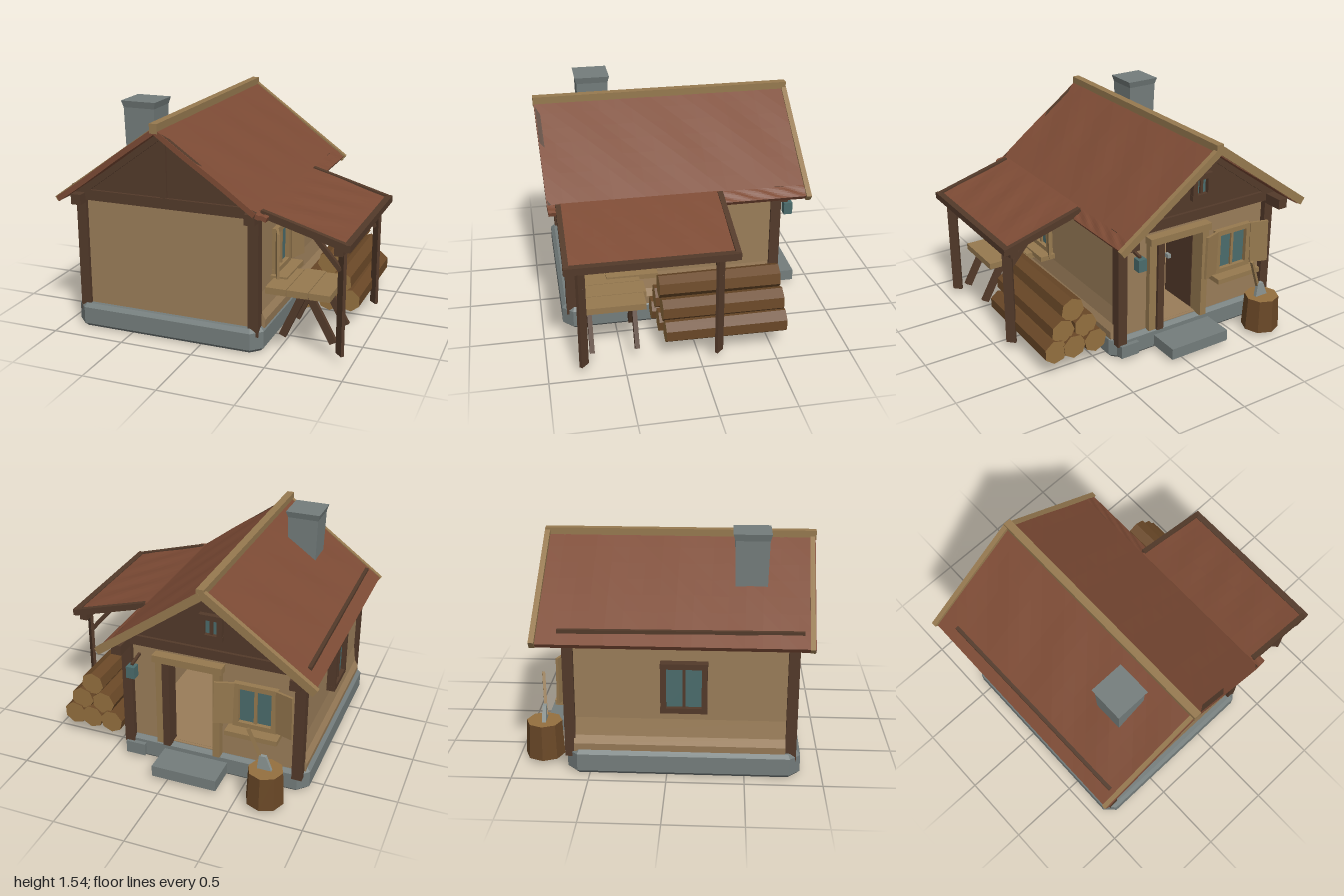
import * as THREE from 'three';

const C = { wall: 0x9a7d59, dark: 0x533a2a, roof: 0x7d4b35, stone: 0x747d7c, trim: 0x96794f, log: 0x6a4827, end: 0x94703f, glass: 0x4b6c6c, iron: 0x8d9694 };
const mats = {};
const mat = (k) => (mats[k] ??= new THREE.MeshStandardMaterial({ color: C[k], flatShading: true, side: THREE.DoubleSide }));
const V = (x, y, z) => new THREE.Vector3(x, y, z);

function add(parent, name, geo, color, x = 0, y = 0, z = 0) {
  const m = new THREE.Mesh(geo, Array.isArray(color) ? color.map(mat) : mat(color));
  m.name = name;
  m.position.set(x, y, z);
  parent.add(m);
  return m;
}

// box given by its extents on each axis
function block(parent, name, color, x0, x1, y0, y1, z0, z1) {
  return add(parent, name, new THREE.BoxGeometry(x1 - x0, y1 - y0, z1 - z0), color, (x0 + x1) / 2, (y0 + y1) / 2, (z0 + z1) / 2);
}

// timber between two points; w is the sideways width, d the other one
function beam(parent, name, color, a, b, w, d = w) {
  const m = add(parent, name, new THREE.BoxGeometry(w, d, a.distanceTo(b)), color);
  m.position.copy(a).lerp(b, 0.5);
  m.lookAt(b);
  return m;
}

const polygon = (pts) => new THREE.Shape(pts.map((p) => new THREE.Vector2(...p)));
const rect = (x0, x1, y0, y1) => polygon([[x0, y0], [x1, y0], [x1, y1], [x0, y1]]);

// upright panel with openings, extruded along z
function panel(pts, holes, depth = 0.05) {
  const s = polygon(pts);
  holes.forEach((h) => s.holes.push(rect(...h)));
  return new THREE.ExtrudeGeometry(s, { depth, bevelEnabled: false });
}

// uneven sloping slab between two (x, y) edges; z limits are given at each edge
function slab(a, b, za, zb, t) {
  const g = new THREE.BoxGeometry(1, 1, 1, 7, 1, 16), p = g.attributes.position;
  const len = Math.hypot(b[0] - a[0], b[1] - a[1]), nx = -(b[1] - a[1]) / len, ny = (b[0] - a[0]) / len;
  const lerp = THREE.MathUtils.lerp;
  for (let i = 0; i < p.count; i++) {
    const u = p.getX(i) + 0.5, v = p.getZ(i) + 0.5, off = p.getY(i) > 0 ? 0 : -t;
    const wave = 0.005 * Math.sin(u * Math.PI) * Math.sin(v * 23 + u * 5);
    p.setXYZ(i, lerp(a[0], b[0], u) + nx * off, lerp(a[1], b[1], u) + ny * off + wave,
      lerp(lerp(za[0], zb[0], u), lerp(za[1], zb[1], u), v));
  }
  g.computeVertexNormals();
  return g;
}

// window in local axes facing +z: frame, panes, sill and two shutters
function windowSet(parent, name, w, h, colour, shutters) {
  const g = new THREE.Group();
  g.name = name;
  const x = w / 2, y = h / 2;
  block(g, 'glass', 'glass', -x, x, -y, y, -0.02, 0);
  for (const s of [-1, 1]) {
    block(g, 'frameSide', colour, s * x - 0.018, s * x + 0.018, -y, y, -0.03, 0.03);
    block(g, 'frameRail', colour, -x - 0.02, x + 0.02, s * y - 0.018, s * y + 0.018, -0.03, 0.03);
    if (shutters) {
      const hinge = new THREE.Group();
      hinge.name = 'shutter';
      hinge.position.set(s * (x + 0.02), 0, 0.02);
      hinge.rotation.y = -s * shutters;
      hinge.rotation.z = s * 0.03;
      block(hinge, 'shutterBoard', 'trim', s > 0 ? 0 : -0.13, s > 0 ? 0.13 : 0, -y, y + 0.02, 0, 0.018);
      g.add(hinge);
    }
  }
  block(g, 'mullion', colour, -0.01, 0.01, -y, y, -0.02, 0.015);
  if (shutters) block(g, 'sill', 'trim', -x - 0.05, x + 0.05, -y - 0.05, -y - 0.015, -0.02, 0.11);
  parent.add(g);
  return g;
}

function buildHouse(g) {
  // stone foundation with cut corners and bevelled edges
  const c = 0.07, [x0, x1, z0, z1] = [-0.92, 0.42, -0.86, 0.65];
  const base = new THREE.ExtrudeGeometry(polygon([[x0 + c, z0], [x1 - c, z0], [x1, z0 + c], [x1, z1 - c], [x1 - c, z1], [x0 + c, z1], [x0, z1 - c], [x0, z0 + c]]),
    { depth: 0.115, bevelThickness: 0.025, bevelSize: 0.025, bevelOffset: -0.025, bevelSegments: 1 });
  base.rotateX(-Math.PI / 2);
  add(g, 'foundation', base, 'stone', 0, 0.025, 0);
  block(g, 'floor', 'wall', -0.82, 0.34, 0.155, 0.172, -0.6, 0.76);
  block(g, 'doorStep', 'stone', -0.36, 0.1, 0.03, 0.11, -0.87, -0.64);
  block(g, 'cornerStone', 'stone', 0.24, 0.38, 0.03, 0.12, -0.68, -0.6);

  // plaster walls, flared at the foot on both sides
  const wx = [-0.85, 0.37], box = (a, b) => [[a, 0.15], [b, 0.15], [b, 0.93], [a, 0.93]];
  add(g, 'frontWall', panel(box(...wx), []), 'wall', 0, 0, 0.755);
  add(g, 'backWall', panel(box(...wx), [[-0.27, 0.05, 0.17, 0.82], [-0.68, -0.42, 0.45, 0.74]]), 'wall', 0, 0, -0.62);
  const rightWall = add(g, 'rightWall', panel(box(-0.6, 0.77), [[0.26, 0.51, 0.45, 0.73]]), 'wall', 0.38);
  const leftWall = add(g, 'leftWall', panel(box(-0.6, 0.77), [[-0.02, 0.24, 0.47, 0.76]]), 'wall', -0.81);
  rightWall.rotation.y = leftWall.rotation.y = -Math.PI / 2;
  for (const [name, s, x] of [['leftWallFoot', -1, -0.86], ['rightWallFoot', 1, 0.38]]) {
    add(g, name, panel([[0, 0.15], [s * 0.035, 0.15], [s * 0.04, 0.21], [s * 0.015, 0.26], [0, 0.38]], [], 1.36), 'wall', x, 0, -0.6);
  }

  // corner posts, tie beams and wall plates
  for (const x of [-0.85, 0.36]) {
    for (const z of [0.795, -0.625]) block(g, 'cornerPost', 'dark', x - 0.035, x + 0.035, 0.11, 0.93, z - 0.035, z + 0.035);
    block(g, 'wallPlate', 'dark', x - 0.035, x + 0.035, 0.88, 0.95, -0.8, 0.9);
  }

  // timber gables with king post and rafters
  for (const [z, s] of [[0.8, 1], [-0.63, -1]]) {
    block(g, 'tieBeam', 'dark', -0.91, 0.41, 0.9, 0.97, z - 0.035, z + 0.035);
    add(g, 'gable', panel([[-0.9, 0.93], [0.4, 0.93], [-0.25, 1.41]], s < 0 ? [[-0.31, -0.19, 1.07, 1.2]] : [], 0.03), 'dark', 0, 0, z - 0.015);
    if (s > 0) block(g, 'kingPost', 'dark', -0.273, -0.227, 0.96, 1.4, z, z + 0.03);
    for (const e of [-0.85, 0.35]) beam(g, 'rafter', 'dark', V(e, 0.95, z + s * 0.02), V(-0.25, 1.39, z + s * 0.02), 0.03, 0.05);
  }
  const loft = windowSet(g, 'loftWindow', 0.12, 0.14, 'dark');
  loft.position.set(-0.25, 1.135, -0.65);
  loft.rotation.y = Math.PI;

  // main roof; its right eave flattens out where it meets the porch
  const ridge = [-0.25, 1.45], leftEave = [-0.985, 0.925], bend = [0.41, 0.968];
  add(g, 'roofLeft', slab(leftEave, ridge, [-0.82, 0.915], [-0.82, 0.945], 0.035), 'roof');
  add(g, 'roofRight', slab(ridge, bend, [-0.82, 0.945], [-0.82, 0.92], 0.035), 'roof');
  add(g, 'rightEaveBack', slab(bend, [0.48, 0.917], [-0.82, -0.2], [-0.82, -0.23], 0.035), 'roof');
  add(g, 'rightEaveFront', slab(bend, [0.48, 0.947], [-0.2, 0.92], [-0.23, 0.915], 0.03), 'roof');

  // ridge beam and boards along the roof ends
  block(g, 'ridgeBeam', 'trim', -0.275, -0.222, 1.415, 1.478, -0.84, 0.95);
  beam(g, 'backBargeBoard', 'trim', V(-0.99, 0.918, -0.825), V(-0.25, 1.447, -0.825), 0.035, 0.055);
  beam(g, 'backBargeBoard', 'trim', V(0.48, 0.9, -0.825), V(-0.25, 1.43, -0.825), 0.035, 0.05);
  beam(g, 'frontBargeBoard', 'trim', V(-0.985, 0.91, 0.895), V(-0.25, 1.435, 0.925), 0.03, 0.035);
  beam(g, 'frontBargeBoard', 'dark', V(0.4, 0.957, 0.9), V(-0.25, 1.43, 0.925), 0.03, 0.03);
  beam(g, 'eavePole', 'dark', V(-0.905, 0.985, -0.68), V(-0.89, 0.99, 0.85), 0.025);

  // chimney: square shaft and flared cap
  const square = (top, bottom, h) => new THREE.CylinderGeometry(top, bottom, h, 4).rotateY(Math.PI / 4);
  add(g, 'chimneyShaft', square(0.155, 0.143, 0.36), 'stone', -0.505, 1.32, 0.525);
  add(g, 'chimneyCap', square(0.172, 0.155, 0.045), 'stone', -0.505, 1.517, 0.525);

  // windows
  const right = windowSet(g, 'rightWindow', 0.25, 0.28, 'trim', 0.4);
  right.position.set(0.385, 0.59, 0.385);
  right.rotation.y = Math.PI / 2;
  const left = windowSet(g, 'leftWindow', 0.26, 0.3, 'dark');
  left.position.set(-0.89, 0.615, 0.11);
  left.rotation.y = -Math.PI / 2;
  const back = windowSet(g, 'backWindow', 0.26, 0.29, 'trim', 0.35);
  back.position.set(-0.55, 0.595, -0.63);
  back.rotation.y = Math.PI;

  // doorway with the leaf standing open inside
  for (const x of [-0.29, 0.07]) block(g, 'doorJamb', x > 0 ? 'dark' : 'trim', x - 0.025, x + 0.025, 0.16, 0.84, -0.68, -0.57);
  block(g, 'doorSurround', 'trim', 0.095, 0.15, 0.16, 0.84, -0.66, -0.61);
  block(g, 'doorLintel', 'trim', -0.33, 0.16, 0.81, 0.86, -0.69, -0.57);
  block(g, 'doorLeaf', 'dark', -0.29, -0.26, 0.18, 0.81, -0.57, -0.27);
  block(g, 'doorHandle', 'iron', -0.26, -0.235, 0.46, 0.49, -0.33, -0.29);

  // lantern by the door
  block(g, 'lantern', 'glass', 0.25, 0.31, 0.7, 0.785, -0.77, -0.71);
  beam(g, 'lanternBracket', 'dark', V(0.28, 0.81, -0.62), V(0.28, 0.79, -0.74), 0.018);
}

function buildPorch(g) {
  // lean-to roof on two thin posts set diagonally
  add(g, 'porchRoof', slab([0.41, 0.975], [0.97, 0.81], [-0.22, 0.85], [-0.22, 0.85], 0.03), 'roof');
  block(g, 'porchEaveBeam', 'dark', 0.89, 0.945, 0.745, 0.795, -0.23, 0.865);
  beam(g, 'porchEdgeBoard', 'dark', V(0.97, 0.8, -0.24), V(0.97, 0.8, 0.87), 0.045);
  for (const z of [-0.225, 0.85]) beam(g, 'porchRafter', 'dark', V(0.42, 0.958, z), V(0.985, 0.795, z), 0.035, 0.045);
  for (const z of [-0.125, 0.765]) {
    const post = add(g, 'porchPost', new THREE.BoxGeometry(0.068, 0.72, 0.022), 'dark', 0.918, 0.415, z);
    post.rotation.y = -Math.PI / 4;
    beam(g, 'porchBrace', 'dark', V(0.73, 0.83, z), V(0.91, 0.62, z), 0.03);
  }

  // plank table with crossed, splayed legs
  for (let i = 0; i < 3; i++) block(g, 'tablePlank', 'trim', 0.405 + i * 0.145, 0.545 + i * 0.145, 0.378, 0.422, i === 1 ? 0.32 : 0.34, 0.73);
  for (const z of [0.41, 0.705]) {
    beam(g, 'tableLeg', 'dark', V(0.52, 0.1, z), V(0.65, 0.39, z), 0.03, 0.05);
    beam(g, 'tableLeg', 'dark', V(0.86, 0.1, z), V(0.7, 0.39, z), 0.03, 0.05);
  }

  // stacked firewood
  const rows = [[0.19, [0.535, 0.69, 0.825]], [0.32, [0.6, 0.765]], [0.45, [0.685]]];
  rows.forEach(([y, xs], r) => xs.forEach((x, i) => {
    const geo = new THREE.CylinderGeometry(0.079, 0.085, 0.87 - 0.03 * ((r + i) % 3), 7).rotateX(Math.PI / 2).rotateZ(r * 2 + i);
    add(g, 'firewoodLog', geo, ['log', 'end', 'end'], x, y, -0.165 - 0.01 * i);
  }));
}

function buildChoppingBlock(g) {
  add(g, 'stump', new THREE.CylinderGeometry(0.118, 0.13, 0.24, 8), ['log', 'end', 'end'], -0.69, 0.15, -0.825);
  beam(g, 'axeHandle', 'trim', V(-0.67, 0.3, -0.815), V(-0.57, 0.565, -0.84), 0.02);
  const blade = panel([[-0.05, 0], [0.05, -0.02], [0.035, 0.1], [-0.01, 0.1]], [], 0.025);
  add(g, 'axeBlade', blade, 'iron', -0.68, 0.27, -0.835);
}

export function createModel() {
  const model = new THREE.Group();
  model.name = 'cottage';
  for (const [name, build] of [['house', buildHouse], ['porch', buildPorch], ['choppingBlock', buildChoppingBlock]]) {
    const g = new THREE.Group();
    g.name = name;
    build(g);
    model.add(g);
  }
  return model;
}
